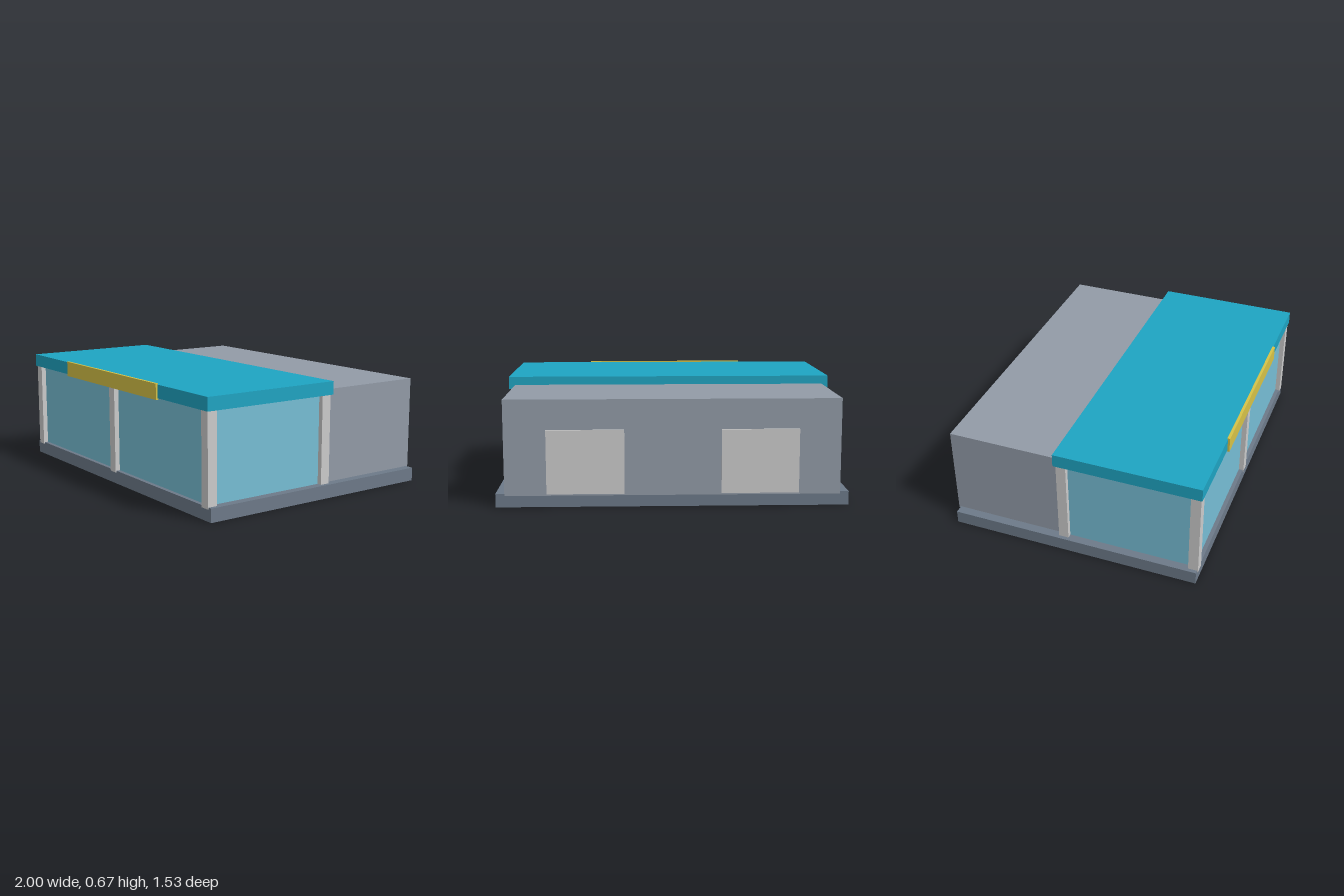
import * as THREE from 'three';

const material = (color) => new THREE.MeshStandardMaterial({ color });

export function createModel() {
  const model = new THREE.Group();
  model.name = 'shopBuilding';

  const grey = material(0xcccccc);
  const slate = material(0x6d7a89);
  const wall = material(0x929ba7);
  const glass = material(0x77bed5);
  const teal = material(0x1ea4c2);
  const gold = material(0xd6c247);

  // Box given by its extents along each axis
  function box(name, mat, [x0, x1], [y0, y1], [z0, z1]) {
    const mesh = new THREE.Mesh(new THREE.BoxGeometry(x1 - x0, y1 - y0, z1 - z0), mat);
    mesh.position.set((x0 + x1) / 2, (y0 + y1) / 2, (z0 + z1) / 2);
    mesh.name = name;
    model.add(mesh);
  }
  const around = (c, size) => [c - size / 2, c + size / 2];

  // Ground slab and rear storage block
  box('baseSlab', slate, [-1, 1], [0, 0.078], [-0.742, 0.742]);
  box('rearBlock', wall, [-0.948, 0.948], [0.068, 0.614], [-0.754, -0.06]);

  // Overhanging front roof with its sign board
  box('frontRoof', teal, [-0.986, 0.986], [0.588, 0.664], [-0.104, 0.754]);
  box('signBoard', gold, [-0.516, 0.516], [0.58, 0.67], [0.75, 0.766]);

  // Posts: three along the front, two where the showroom meets the block
  const postY = [0.068, 0.59];
  const post = 0.058;
  for (const x of [-0.949, 0, 0.949]) {
    box('frontPost', grey, around(x, post), postY, around(0.718, post));
  }

  for (const side of [-1, 1]) {
    box('rearPost', grey, around(side * 0.949, post), postY, around(-0.061, post));
    // Glazing set on the post centre lines
    box('sideWindow', glass, around(side * 0.94, 0.02), [0.07, 0.59], [-0.06, 0.718]);
    box('frontWindow', glass, around(side * 0.475, 0.93), [0.07, 0.59], around(0.708, 0.02));
    // Delivery doors on the back wall
    box('backDoor', grey, around(side * 0.492, 0.438), [0.079, 0.443], [-0.768, -0.74]);
  }

  return model;
}
